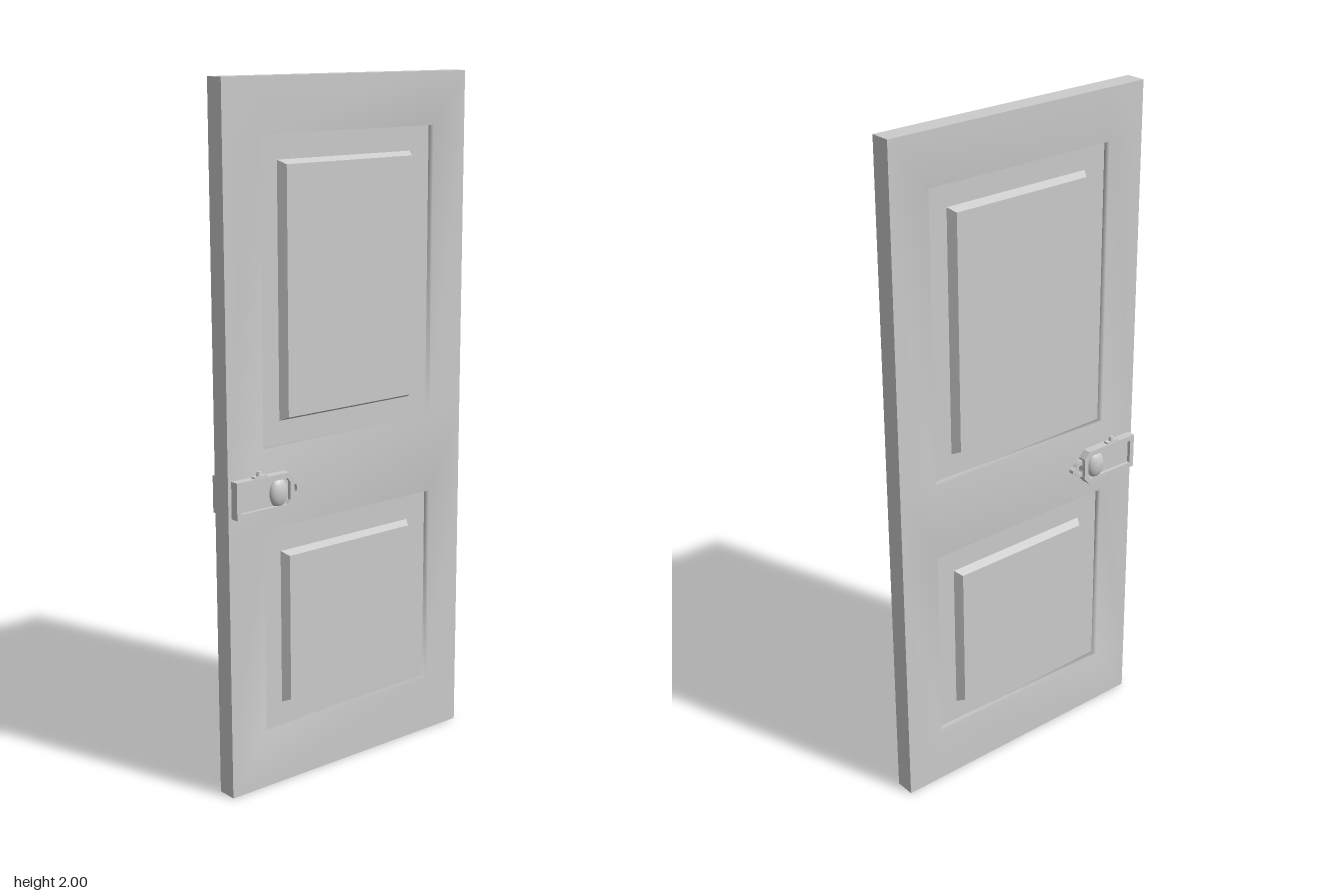
import * as THREE from 'three';
import { mergeVertices } from 'three/addons/utils/BufferGeometryUtils.js';

const W = 0.431, H = 2, FACE = 0.03, FLOOR = 0.01;
const RX = 0.31; // half width of the recesses
const panels = [
  { name: 'lower', recess: [0.17, 0.77], field: [0.235, 0.69] },
  { name: 'upper', recess: [1.0, 1.85], field: [1.067, 1.78] },
];
const mat = new THREE.MeshStandardMaterial({ color: 0xcccccc });

// Reflects a geometry through z = 0, keeping its faces outward
function mirrorZ(geo) {
  const g = mergeVertices(geo.clone());
  const p = g.attributes.position, n = g.attributes.normal, i = g.index;
  for (let k = 0; k < p.count; k++) {
    p.setZ(k, -p.getZ(k));
    n.setZ(k, -n.getZ(k));
  }
  for (let k = 0; k < i.count; k += 3) {
    const a = i.getX(k);
    i.setX(k, i.getX(k + 1));
    i.setX(k + 1, a);
  }
  return g;
}

// Stiles, rails and recess walls as one softly shaded surface
function frameGeometry() {
  const pos = [];
  const quad = (a, b, c, d) => pos.push(...a, ...b, ...c, ...a, ...c, ...d);
  const xs = [-W, -RX, RX, W];
  const ys = [0, ...panels.flatMap((p) => p.recess), H];
  for (let i = 0; i < 3; i++) {
    for (let j = 0; j < 5; j++) {
      if (i === 1 && j % 2 === 1) continue;
      quad([xs[i], ys[j], FACE], [xs[i + 1], ys[j], FACE],
        [xs[i + 1], ys[j + 1], FACE], [xs[i], ys[j + 1], FACE]);
    }
  }
  for (const { recess: [lo, hi] } of panels) {
    const c = [[-RX, lo], [RX, lo], [RX, hi], [-RX, hi]];
    c.forEach((a, k) => {
      const b = c[(k + 1) % 4];
      quad([...a, FACE], [...b, FACE], [...b, FLOOR], [...a, FLOOR]);
    });
  }
  const raw = new THREE.BufferGeometry();
  raw.setAttribute('position', new THREE.Float32BufferAttribute(pos, 3));
  const g = mergeVertices(raw);
  g.computeVertexNormals();
  return g;
}

// Raised field: a box whose front is drawn in to make sloping edges
function fieldGeometry(lo, hi) {
  const w = 0.476, h = hi - lo, d = 0.0245, bevel = 0.014;
  const g = new THREE.BoxGeometry(w, h, d);
  const p = g.attributes.position;
  for (let k = 0; k < p.count; k++) {
    if (p.getZ(k) < 0) continue;
    p.setX(k, p.getX(k) - Math.sign(p.getX(k)) * bevel);
    p.setY(k, p.getY(k) - Math.sign(p.getY(k)) * bevel * 0.8);
  }
  g.computeVertexNormals();
  return g.translate(0, (lo + hi) / 2, FLOOR + d / 2);
}

const outline = (pts) => pts.map(([x, y]) => new THREE.Vector2(x, y));
const extrude = (shape, z0, z1, curveSegments = 12) =>
  new THREE.ExtrudeGeometry(shape, { depth: z1 - z0, bevelEnabled: false, curveSegments }).translate(0, 0, z0);

// Parts of the lock set on the front face
function lockParts() {
  // Plate with clipped corners and a sunken middle
  const edge = outline([[-0.42, 0.824], [-0.24, 0.824], [-0.222, 0.845],
    [-0.222, 0.91], [-0.24, 0.93], [-0.42, 0.93]]);
  const rim = new THREE.Shape(edge);
  rim.holes.push(new THREE.Path(outline([[-0.405, 0.84], [-0.405, 0.914],
    [-0.247, 0.914], [-0.237, 0.903], [-0.237, 0.851], [-0.247, 0.84]])));

  // Oval knob
  const knob = new THREE.SphereGeometry(1, 24, 16).scale(0.03, 0.042, 0.019).translate(-0.272, 0.876, 0.0445);

  // Rounded tab reaching past the plate
  const tab = new THREE.Shape();
  tab.moveTo(-0.23, 0.848);
  tab.quadraticCurveTo(-0.205, 0.852, -0.197, 0.866);
  tab.lineTo(-0.184, 0.872);
  tab.lineTo(-0.184, 0.882);
  tab.lineTo(-0.197, 0.888);
  tab.quadraticCurveTo(-0.205, 0.902, -0.23, 0.906);
  const eye = new THREE.Path();
  eye.absellipse(-0.214, 0.877, 0.009, 0.013, 0, Math.PI * 2, true);
  tab.holes.push(eye);

  // Small catch standing on the top edge
  const base = new THREE.BoxGeometry(0.044, 0.006, 0.014).translate(-0.336, 0.932, 0.045);
  const pin = new THREE.CylinderGeometry(0.006, 0.009, 0.013, 16).translate(-0.336, 0.9405, 0.045);

  return {
    lockPlateRim: extrude(rim, 0.044, 0.0555),
    lockPlateBase: extrude(new THREE.Shape(edge), 0.029, 0.045),
    knob,
    lockTab: extrude(tab, 0.029, 0.045),
    catchBase: base,
    catchPin: pin,
  };
}

export function createModel() {
  const model = new THREE.Group();
  model.name = 'door';

  const add = (parent, name, geo) => {
    const mesh = new THREE.Mesh(geo, mat);
    mesh.name = name;
    parent.add(mesh);
  };

  // Outer edges of the slab, a box without its front and back
  const edges = new THREE.BoxGeometry(2 * W, H, 2 * FACE).translate(0, H / 2, 0);
  edges.setIndex(Array.from(edges.index.array).slice(0, 24));
  edges.clearGroups();
  add(model, 'slabEdges', edges);

  // Everything on one face, repeated on the other
  const parts = { frame: frameGeometry() };
  for (const { name, recess: [lo, hi], field } of panels) {
    parts[name + 'RecessFloor'] = new THREE.PlaneGeometry(2 * RX, hi - lo).translate(0, (lo + hi) / 2, FLOOR);
    parts[name + 'RaisedField'] = fieldGeometry(...field);
  }
  Object.assign(parts, lockParts());

  for (const side of ['front', 'back']) {
    const group = new THREE.Group();
    group.name = side + 'Face';
    for (const [name, geo] of Object.entries(parts)) {
      add(group, name, side === 'front' ? geo : mirrorZ(geo));
    }
    model.add(group);
  }
  return model;
}
